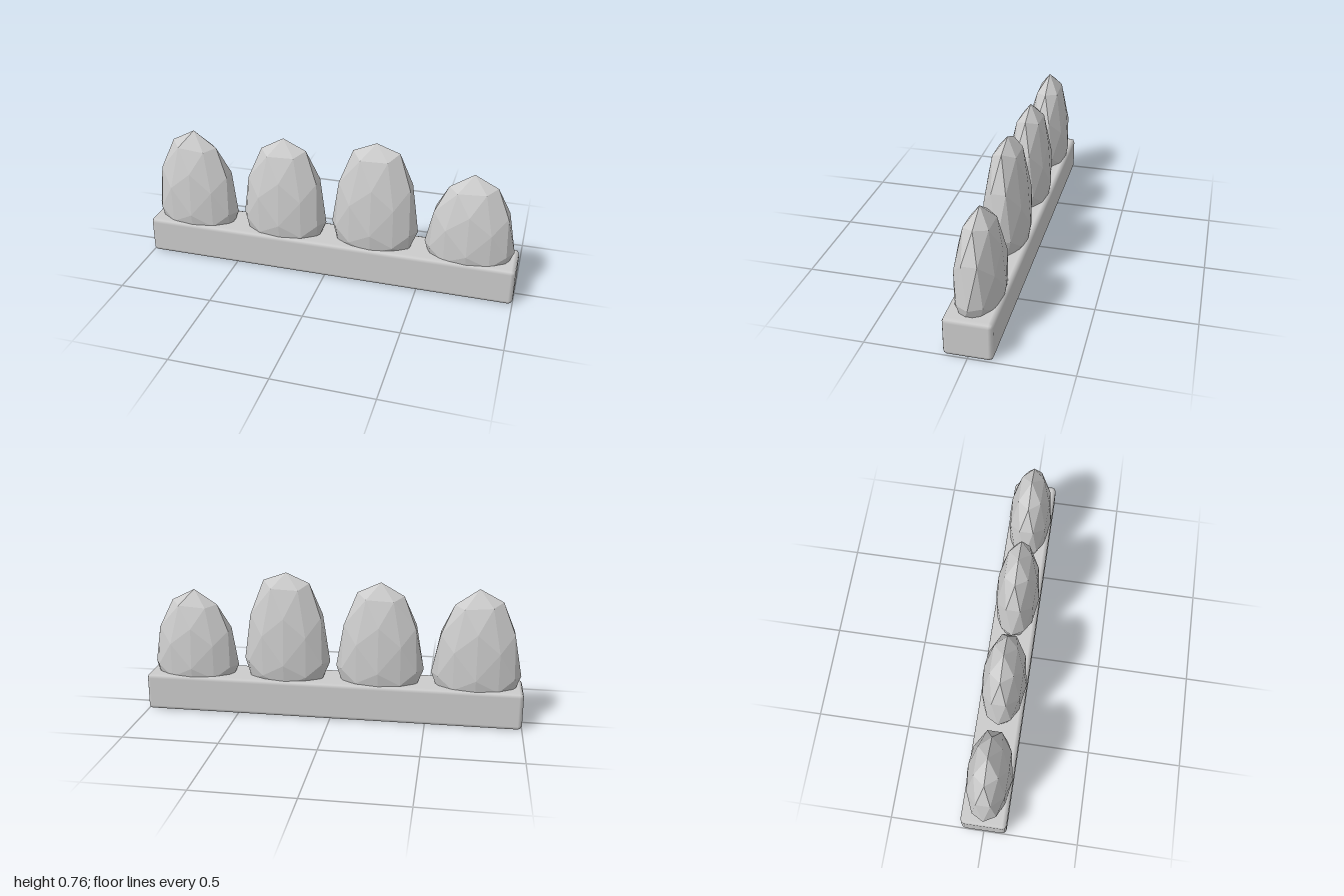
import * as THREE from 'three';
import { RoundedBoxGeometry } from 'three/addons/geometries/RoundedBoxGeometry.js';

const stoneMaterial = new THREE.MeshStandardMaterial({ color: 0xcccccc, flatShading: true });
const baseMaterial = new THREE.MeshStandardMaterial({ color: 0xcccccc });

// x, height of the widest ring, dome height, shoulder bulge on the -x and +x side
const STONES = [
  [-0.754, 0.257, 0.455, 0.01, -0.05],
  [-0.251, 0.268, 0.46, 0.0, 0.03],
  [0.246, 0.286, 0.476, 0.045, 0.07],
  [0.747, 0.243, 0.411, -0.055, 0.0],
];

// Faceted dome: a stretched icosphere with a squashed underside sunk in the base
function stoneGeometry(height, bulgeLeft, bulgeRight) {
  const geometry = new THREE.IcosahedronGeometry(1, 1);
  const p = geometry.attributes.position;
  for (let i = 0; i < p.count; i++) {
    const x = p.getX(i), y = p.getY(i), z = p.getZ(i);
    const bulge = 1 + (x < 0 ? bulgeLeft : bulgeRight) * 2.2 * Math.abs(x) * Math.max(y, 0);
    p.setXYZ(i, x * 0.232, y * height * (y < 0 ? 0.45 : bulge), z * 0.119);
  }
  geometry.computeVertexNormals();
  return geometry;
}

export function createModel() {
  const model = new THREE.Group();
  model.name = 'stoneRow';

  // Long bar with softened edges
  const base = new THREE.Mesh(new RoundedBoxGeometry(2, 0.2, 0.24, 1, 0.022), baseMaterial);
  base.name = 'base';
  base.position.y = 0.1;
  model.add(base);

  // Four upright stones
  STONES.forEach(([x, y, height, left, right], i) => {
    const stone = new THREE.Mesh(stoneGeometry(height, left, right), stoneMaterial);
    stone.name = `stone${i + 1}`;
    stone.position.set(x, y, 0);
    model.add(stone);
  });
  return model;
}
